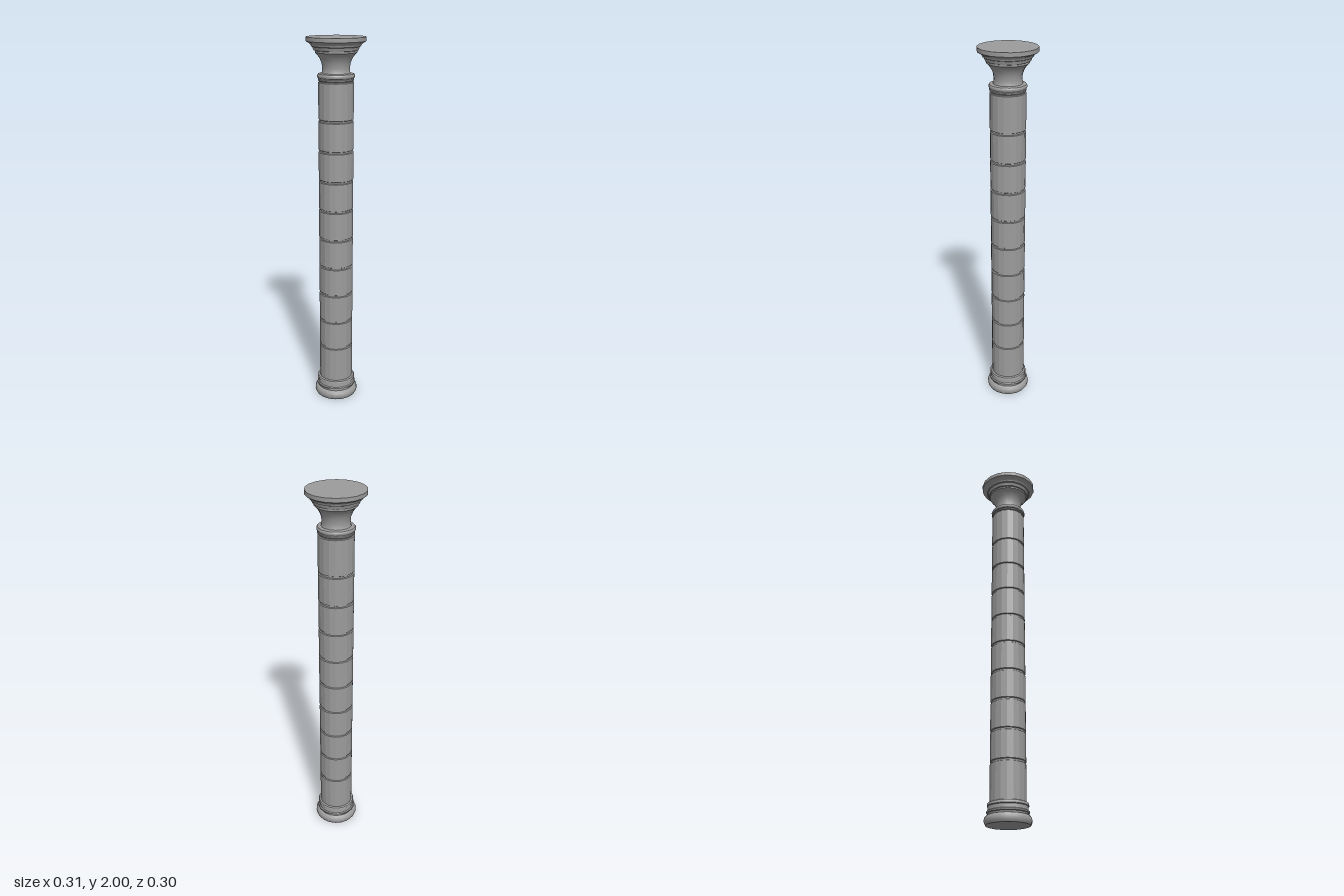
import * as THREE from 'three';
import { toCreasedNormals } from 'three/addons/utils/BufferGeometryUtils.js';

const SIDES = 18;

// Turn a bottom-to-top [radius, y] profile, with a corner on the x axis
function turned(name, profile, crease) {
  const points = profile.map(([r, y]) => new THREE.Vector2(r, y));
  const lathe = new THREE.LatheGeometry(points, SIDES, Math.PI / 2);
  const material = new THREE.MeshStandardMaterial({ color: 0x9c9c9c });
  const mesh = new THREE.Mesh(toCreasedNormals(lathe, crease), material);
  mesh.name = name;
  return mesh;
}

export function createModel() {
  const column = new THREE.Group();
  column.name = 'column';

  // Moulded foot: thick roll, then two narrower rings
  column.add(turned('base', [
    [0, 0], [0.112, 0], [0.118, 0.01], [0.12, 0.023], [0.117, 0.036], [0.108, 0.046],
    [0.101, 0.048], [0.101, 0.056], [0.108, 0.059], [0.108, 0.066], [0.102, 0.07],
    [0.1, 0.09], [0.105, 0.093], [0.105, 0.1], [0.102, 0.107], [0.096, 0.11], [0, 0.11],
  ], 0.6));

  // Faceted shaft of stacked drums parted by shallow grooves
  const joints = 9, firstJoint = 0.308, pitch = 0.1592;
  const shaft = [[0.0925, 0.1]];
  for (let i = 0; i < joints; i++) {
    const y = firstJoint + i * pitch;
    shaft.push([0.0925, y - 0.007], [0.087, y - 0.004], [0.087, y + 0.004], [0.0925, y + 0.007]);
  }
  shaft.push([0.0925, 1.775], [0.088, 1.778], [0.088, 1.79]);
  column.add(turned('shaft', shaft, 0.3));

  // Collar between shaft and capital
  column.add(turned('collar', [
    [0, 1.782], [0.089, 1.782], [0.093, 1.786], [0.093, 1.793], [0.089, 1.796],
    [0.094, 1.798], [0.097, 1.804], [0.097, 1.811], [0.093, 1.818], [0.08, 1.821], [0, 1.821],
  ], 0.6));

  // Flared capital with stepped mouldings and a flat top disc
  column.add(turned('capital', [
    [0.078, 1.815], [0.073, 1.825], [0.071, 1.845], [0.074, 1.87], [0.083, 1.893],
    [0.096, 1.912], [0.108, 1.923], [0.108, 1.932], [0.114, 1.934], [0.118, 1.943],
    [0.12, 1.951], [0.127, 1.954], [0.129, 1.962], [0.138, 1.971], [0.147, 1.975],
    [0.153, 1.979], [0.153, 2], [0, 2],
  ], 0.6));

  return column;
}
